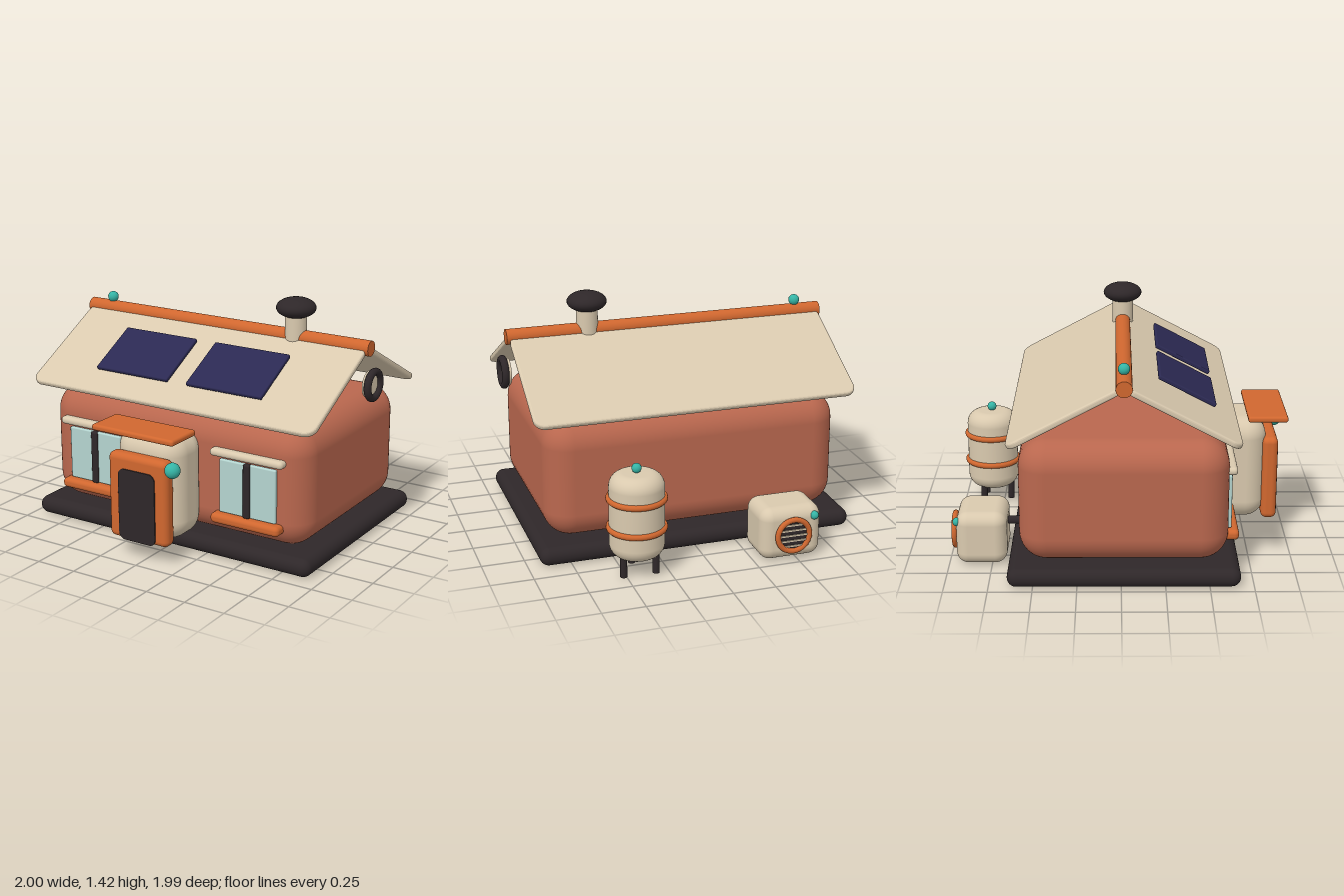
import * as THREE from 'three';
import { RoundedBoxGeometry } from 'three/addons/geometries/RoundedBoxGeometry.js';

const mat = (name, color) => {
  const m = new THREE.MeshStandardMaterial({ color });
  m.name = name;
  return m;
};

export function createModel() {
  const clay = mat('terracotta', 0xb9674e);
  const orange = mat('orange', 0xd0672f);
  const cream = mat('cream', 0xd9c9ae);
  const dark = mat('charcoal', 0x2e2729);
  const glass = mat('pale glass', 0xb4d4cf);
  const navy = mat('solar navy', 0x2b2952);
  const teal = mat('teal', 0x35b5a6);

  const model = new THREE.Group();
  model.name = 'house';
  const CX = -0.02, CZ = 0.015; // centre of the main building

  const add = (name, geo, material, x, y, z, parent = model) => {
    const m = new THREE.Mesh(geo, material);
    m.name = name;
    m.position.set(x, y, z);
    parent.add(m);
    return m;
  };
  const rbox = (w, h, d, r) => new RoundedBoxGeometry(w, h, d, 6, r);
  const ball = r => new THREE.SphereGeometry(r, 24, 16);
  const rod = (r, len, axis) => {
    const g = new THREE.CylinderGeometry(r, r, len, 32);
    if (axis === 'x') g.rotateZ(-Math.PI / 2);
    if (axis === 'z') g.rotateX(Math.PI / 2);
    return g;
  };
  // Flat plate with rounded corners, facing +z
  const plate = (w, h, d, r, bevel) => {
    const s = new THREE.Shape();
    const x = w / 2 - bevel, y = h / 2 - bevel, q = Math.PI / 2;
    s.absarc(x - r, y - r, r, 0, q);
    s.absarc(r - x, y - r, r, q, 2 * q);
    s.absarc(r - x, r - y, r, 2 * q, 3 * q);
    s.absarc(x - r, r - y, r, 3 * q, 4 * q);
    const g = new THREE.ExtrudeGeometry(s, {
      depth: d - 2 * bevel, bevelEnabled: bevel > 0, bevelThickness: bevel,
      bevelSize: bevel, bevelSegments: 3, curveSegments: 8,
    });
    return g.translate(0, 0, bevel - d / 2);
  };

  // Foundation and walls
  add('foundation', rbox(1.9, 0.108, 1.32, 0.053), dark, CX, 0.054, CZ);
  add('walls', rbox(1.77, 0.715, 1.19, 0.16), clay, CX, 0.467, CZ);

  // Two roof slopes, open at the gables
  for (const s of [1, -1]) {
    const slope = new THREE.Group();
    slope.name = s > 0 ? 'frontRoof' : 'backRoof';
    slope.position.set(0, 1.183, CZ);
    slope.rotation.x = s * 0.486;
    model.add(slope);
    add('roofSlab', plate(1.93, 0.73, 0.036, 0.055, 0.012).rotateX(-Math.PI / 2), cream, -0.025, 0, s * 0.365, slope);
    if (s > 0) {
      for (const x of [-0.34, 0.293]) {
        add('solarPanel', rbox(0.503, 0.025, 0.365, 0.008), navy, x, 0.045, 0.383, slope);
      }
    }
  }
  add('ridge', rod(0.046, 1.957, 'x'), orange, -0.022, 1.185, CZ);
  add('ridgeLamp', ball(0.033), teal, -0.845, 1.255, CZ);

  // Chimney
  add('chimney', rod(0.064, 0.2), cream, 0.467, 1.24, CZ);
  add('chimneyCap', ball(0.118).scale(1, 0.51, 1), dark, 0.467, 1.36, CZ);

  // Round vent at the left gable
  add('ventDisc', rod(0.078, 0.034, 'x'), cream, 0.959, 0.975, CZ);
  add('ventRing', new THREE.TorusGeometry(0.077, 0.022, 16, 40).rotateY(Math.PI / 2), dark, 0.978, 0.975, CZ);

  // Windows either side of the porch
  for (const s of [-1, 1]) {
    const win = new THREE.Group();
    win.name = s > 0 ? 'leftWindow' : 'rightWindow';
    win.position.set(CX + s * 0.53, 0, 0.61);
    model.add(win);
    add('pane', rbox(0.37, 0.32, 0.04, 0.008), glass, 0, 0.432, 0, win);
    add('mullion', rbox(0.045, 0.325, 0.04, 0.012), dark, 0, 0.432, 0.014, win);
    add('sill', rbox(0.45, 0.06, 0.1, 0.025), orange, 0, 0.24, 0.012, win);
    add('lintel', rbox(0.475, 0.046, 0.08, 0.022), cream, 0, 0.632, 0.006, win);
  }

  // Porch with door and canopy
  add('porch', rbox(0.445, 0.635, 0.31, 0.12), cream, -0.023, 0.428, 0.717);
  add('doorFrame', rbox(0.4, 0.515, 0.093, 0.035), orange, -0.025, 0.372, 0.896);
  add('door', plate(0.25, 0.43, 0.009, 0.04, 0.002), dark, -0.025, 0.33, 0.944);
  add('canopy', rbox(0.553, 0.036, 0.236, 0.015), orange, -0.022, 0.772, 0.87);
  add('doorLamp', ball(0.045), teal, 0.23, 0.605, 0.955);

  // Water tank behind the house
  const tank = new THREE.Group();
  tank.name = 'waterTank';
  tank.position.set(0.42, 0, -0.818);
  model.add(tank);
  const profile = [new THREE.Vector2(0, 0.1)];
  for (const [y, a0] of [[0.18, -Math.PI / 2], [0.52, 0]]) {
    for (let i = 0; i <= 8; i++) {
      const a = a0 + (i / 8) * Math.PI / 2;
      profile.push(new THREE.Vector2(0.078 + 0.08 * Math.cos(a), y + 0.08 * Math.sin(a)));
    }
  }
  profile.push(new THREE.Vector2(0, 0.6));
  add('tankBody', new THREE.LatheGeometry(profile, 40), cream, 0, 0, 0, tank);
  for (const y of [0.275, 0.45]) {
    add('tankBand', new THREE.TorusGeometry(0.157, 0.018, 12, 40).rotateX(Math.PI / 2), orange, 0, y, 0, tank);
  }
  for (let i = 0; i < 3; i++) {
    const a = i * Math.PI * 2 / 3;
    add('tankLeg', rod(0.02, 0.12), dark, 0.11 * Math.sin(a), 0.06, 0.11 * Math.cos(a), tank);
  }
  add('tankLamp', ball(0.028), teal, 0, 0.625, 0, tank);
  add('tankPipe', rod(0.02, 0.16, 'z'), dark, 0, 0.402, 0.19, tank);

  // Heat pump behind the house
  const pump = new THREE.Group();
  pump.name = 'heatPump';
  pump.position.set(-0.467, 0.158, -0.81);
  model.add(pump);
  add('pumpCase', rbox(0.37, 0.316, 0.295, 0.07), cream, 0, 0, 0, pump);
  add('fanRing', new THREE.TorusGeometry(0.096, 0.016, 12, 40), orange, 0, 0, -0.163, pump);
  add('fanDisc', rod(0.092, 0.02, 'z'), dark, 0, 0, -0.153, pump);
  for (let i = -2; i <= 2; i++) {
    const y = i * 0.032;
    const len = 2 * Math.sqrt(0.088 ** 2 - y * y);
    add('fanSlat', new THREE.BoxGeometry(len, 0.009, 0.008), cream, 0, y, -0.165, pump);
  }
  add('pumpLamp', ball(0.025), teal, -0.133, 0.1, -0.142, pump);
  add('pumpPipe', rod(0.024, 0.16, 'z'), dark, 0, 0.057, 0.19, pump);

  return model;
}
